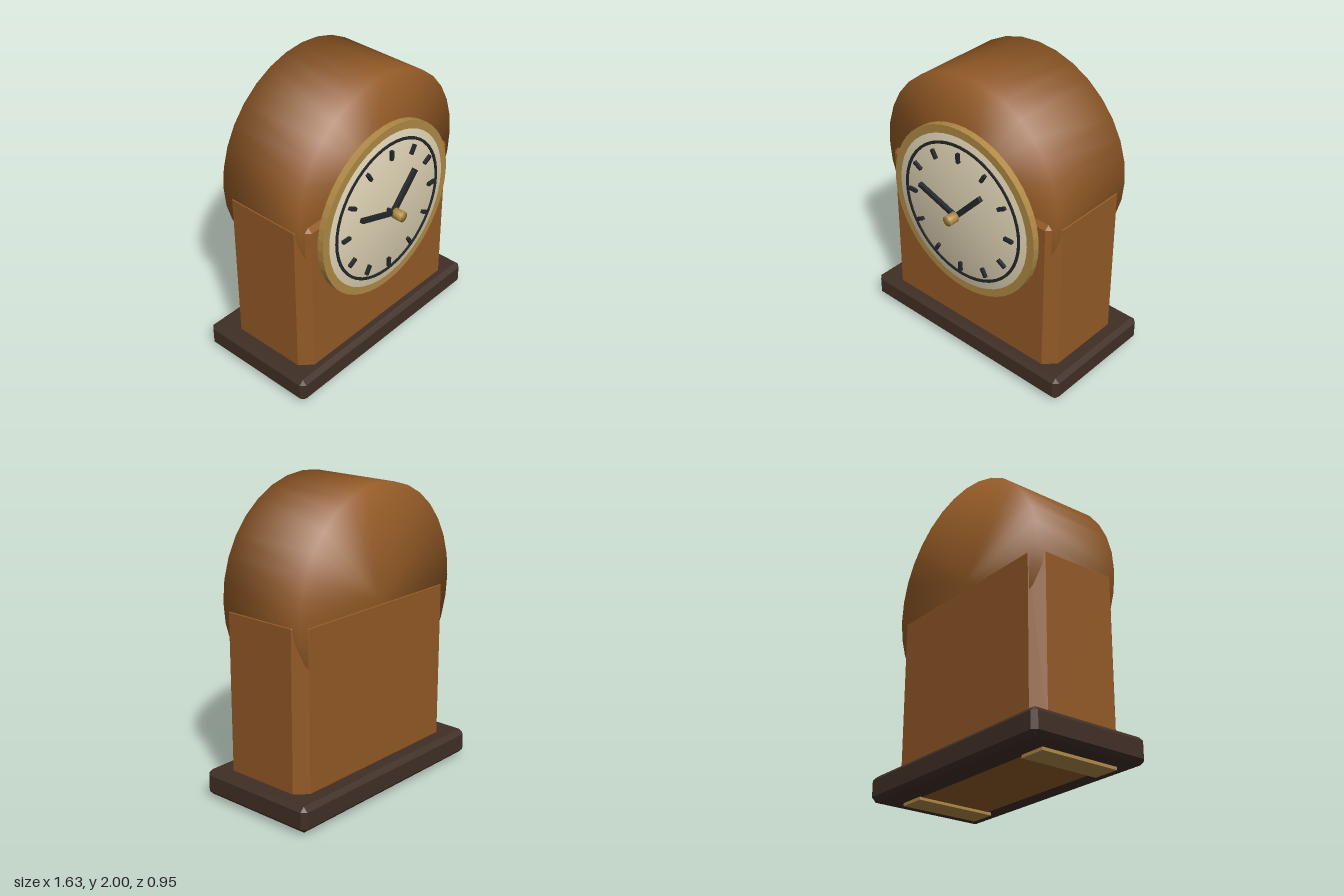
import * as THREE from 'three';
import { mergeVertices } from 'three/addons/utils/BufferGeometryUtils.js';
import { ConvexGeometry } from 'three/addons/geometries/ConvexGeometry.js';

const material = (name, color) => {
  const m = new THREE.MeshStandardMaterial({ color });
  m.name = name;
  return m;
};

// Box between two corners with every edge chamfered by c
function chamferedBox(min, max, c) {
  const points = [];
  for (let i = 0; i < 8; i++) {
    const high = [i & 1, i & 2, i & 4];
    for (let flush = 0; flush < 3; flush++) {
      const p = high.map((h, a) => {
        const inset = a === flush ? 0 : c;
        return h ? max[a] - inset : min[a] + inset;
      });
      points.push(new THREE.Vector3(...p));
    }
  }
  return new ConvexGeometry(points);
}

// Disc facing +z whose normals blend softly across the rim
function softDisc(radius, back, front, sides) {
  let g = new THREE.CylinderGeometry(radius, radius, front - back, sides);
  g.rotateX(Math.PI / 2).translate(0, 0, (back + front) / 2);
  g.deleteAttribute('normal');
  g.deleteAttribute('uv');
  g = mergeVertices(g, 1e-4);
  g.computeVertexNormals();
  return g;
}

// Flat ring facing +z
function ring(outer, inner, back, front, curveSegments) {
  const shape = new THREE.Shape().absarc(0, 0, outer, 0, Math.PI * 2, false);
  shape.holes.push(new THREE.Path().absarc(0, 0, inner, 0, Math.PI * 2, true));
  return new THREE.ExtrudeGeometry(shape, { depth: front - back, bevelEnabled: false, curveSegments })
    .translate(0, 0, back);
}

export function createModel() {
  const wood = material('warm wood', 0x935a26);
  const darkWood = material('dark wood', 0x402f26);
  const brass = material('brass', 0xb08a45);
  const cream = material('cream', 0xe0d4b5);
  const black = material('black', 0x25272b);

  const model = new THREE.Group();
  model.name = 'mantelClock';
  const add = (parent, name, geometry, mat) => {
    const mesh = new THREE.Mesh(geometry, mat);
    mesh.name = name;
    parent.add(mesh);
    return mesh;
  };

  // Plinth and feet
  add(model, 'base', chamferedBox([-0.815, 0.02, -0.477], [0.815, 0.19, 0.372], 0.03), darkWood);
  for (const side of [-1, 1]) {
    const foot = add(model, 'foot', new THREE.BoxGeometry(0.18, 0.03, 0.56), brass);
    foot.position.set(side * 0.59, 0.015, -0.025);
  }

  // Case: chamfered block with a round drum forming the arched top
  add(model, 'caseBody', chamferedBox([-0.71, 0.018, -0.362], [0.71, 1.31, 0.303], 0.075), wood);
  add(model, 'archedTop', softDisc(0.71, -0.358, 0.274, 32), wood).position.y = 1.29;

  // Clock face
  const face = new THREE.Group();
  face.name = 'clockFace';
  face.position.y = 1.09;
  model.add(face);
  add(face, 'bezel', ring(0.59, 0.53, 0.303, 0.348, 24), brass);
  add(face, 'dial', softDisc(0.535, 0.27, 0.35, 48), cream);
  add(face, 'minuteTrack', ring(0.485, 0.467, 0.349, 0.358, 24), black);

  // Hour marks
  for (let i = 0; i < 12; i++) {
    const a = (i / 12) * Math.PI * 2;
    const mark = add(face, 'hourMark', new THREE.BoxGeometry(0.065, 0.022, 0.02), black);
    mark.position.set(Math.cos(a) * 0.407, Math.sin(a) * 0.407, 0.371);
    mark.rotation.z = a;
  }

  // Hands pivot at the centre and point at their tips
  const addHand = (name, x, y, width, back, front) => {
    const length = Math.hypot(x, y);
    const g = new THREE.BoxGeometry(length, width, front - back)
      .translate(length / 2, 0, (back + front) / 2);
    add(face, name, g, black).rotation.z = Math.atan2(y, x);
  };
  addHand('hourHand', 0.203, 0.218, 0.036, 0.382, 0.408);
  addHand('minuteHand', -0.307, 0.103, 0.028, 0.39, 0.416);

  // Spindle and brass knob
  add(face, 'spindle', softDisc(0.012, 0.345, 0.415, 12), black);
  add(face, 'knob', softDisc(0.035, 0.408, 0.477, 20), brass);

  return model;
}
